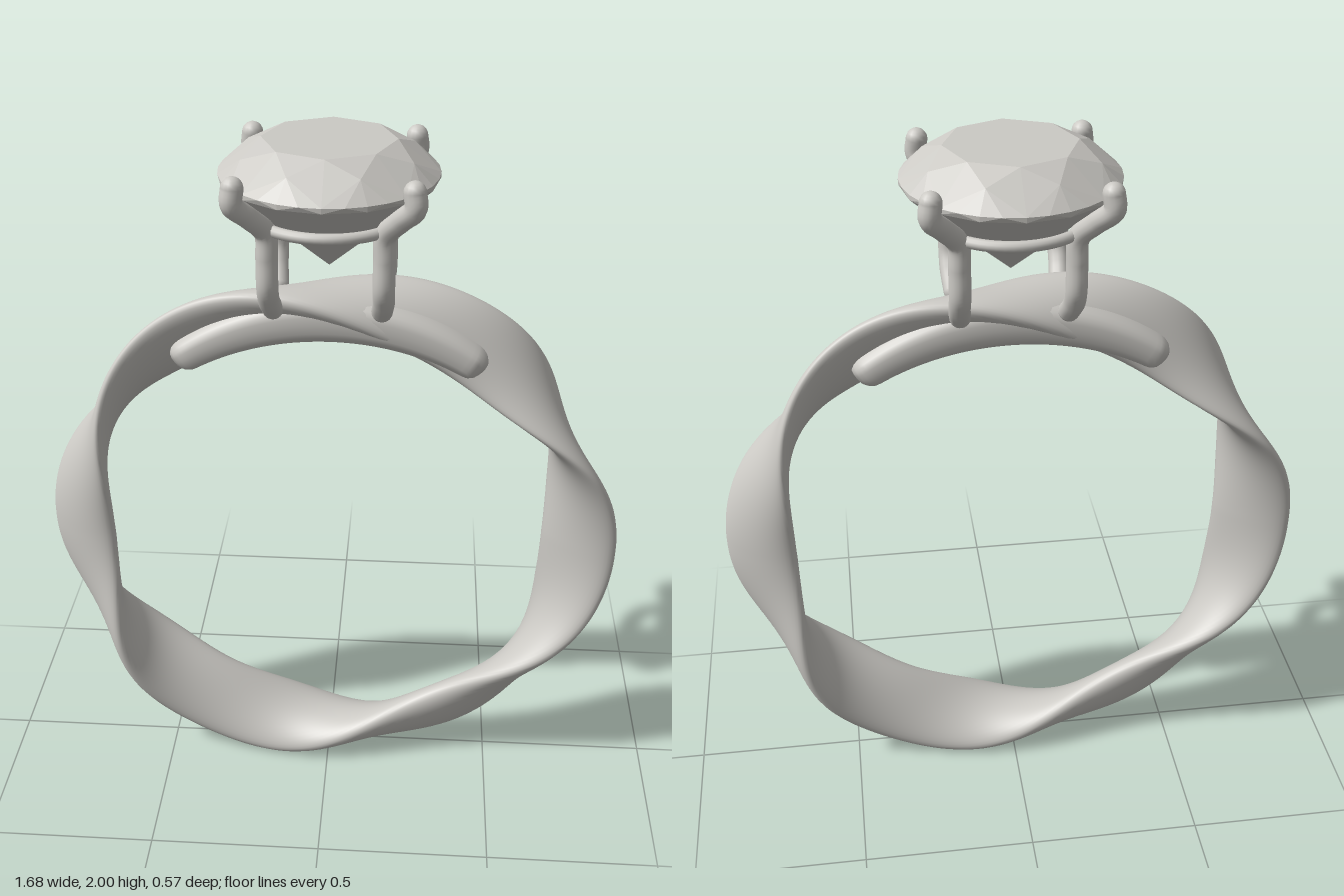
import * as THREE from 'three';
import { ConvexGeometry } from 'three/addons/geometries/ConvexGeometry.js';

const CENTRE_Y = 0.797;

// Surface through point(i, j): i runs along the hoop, j around the section
function loft(rows, cols, closed, point) {
  const pos = [], index = [];
  const count = closed ? rows : rows + 1;
  for (let i = 0; i < count; i++)
    for (let j = 0; j < cols; j++) pos.push(...point(i / rows, (j / cols) * Math.PI * 2));
  for (let i = 0; i < rows; i++)
    for (let j = 0; j < cols; j++) {
      const i2 = (i + 1) % count, j2 = (j + 1) % cols;
      const a = i * cols + j, b = i2 * cols + j, c = i2 * cols + j2, d = i * cols + j2;
      index.push(a, b, d, b, c, d);
    }
  const g = new THREE.BufferGeometry();
  g.setAttribute('position', new THREE.Float32BufferAttribute(pos, 3));
  g.setIndex(index);
  g.computeVertexNormals();
  return g;
}

const onHoop = (r, t, z) => [r * Math.cos(t), CENTRE_Y + r * Math.sin(t), z];

export function createModel() {
  const model = new THREE.Group();
  const silver = new THREE.MeshStandardMaterial({ color: 0xcccac5 });
  silver.name = 'silver';
  const add = (name, geometry, parent = model) => {
    const mesh = new THREE.Mesh(geometry, silver);
    mesh.name = name;
    parent.add(mesh);
    return mesh;
  };

  // Band: an oval section that rocks to and fro three times round the hoop
  add('wavyBand', loft(288, 40, true, (f, a) => {
    const t = f * Math.PI * 2, up = Math.max(0, Math.sin(t));
    const tilt = THREE.MathUtils.degToRad(90 - 57 * Math.cos(3 * t));
    const u = (0.12 - 0.02 * up ** 8) * Math.cos(a);
    const v = (0.042 - 0.013 * Math.sin(t) + 0.02 * up ** 8) * Math.sin(a);
    const r = 0.735 + 0.02 * up + u * Math.cos(tilt) - v * Math.sin(tilt);
    return onHoop(r, t, u * Math.sin(tilt) + v * Math.cos(tilt));
  }));

  // Bridge: a rounded bar under the setting that fills the band's top
  add('bridge', loft(64, 28, false, (f, a) => {
    const t = THREE.MathUtils.degToRad(53 + 74 * f);
    const end = Math.min(1, Math.min(f, 1 - f) / 0.06);
    const size = Math.sqrt(Math.max(0, 1 - (1 - end) ** 2));
    const soft = (c) => Math.sign(c) * Math.abs(c) ** 0.7;
    const swell = 0.02 * Math.sin(Math.PI * f);
    const r = 0.718 + (0.047 + swell) * size * soft(Math.cos(a));
    return onHoop(r, t, 0.088 * size * soft(Math.sin(a)));
  }));

  // Four prongs, bent in at the foot and out round the stone
  const prongs = new THREE.Group();
  prongs.name = 'prongs';
  model.add(prongs);
  for (const sx of [-1, 1])
    for (const sz of [-1, 1]) {
      const path = [
        [0.145, 1.56, 0.08], [0.15, 1.605, 0.125], [0.15, 1.65, 0.15], [0.15, 1.73, 0.15],
        [0.152, 1.8, 0.152], [0.19, 1.855, 0.19], [0.225, 1.9, 0.225], [0.222, 1.94, 0.222],
      ].map(([x, y, z]) => new THREE.Vector3(x * sx, y, z * sz));
      add('prong', new THREE.TubeGeometry(new THREE.CatmullRomCurve3(path), 48, 0.029, 14), prongs);
      for (const p of [path[0], path[path.length - 1]])
        add('prongTip', new THREE.SphereGeometry(0.029, 14, 10), prongs).position.copy(p);
    }

  // Gallery ring joining the prongs
  const gallery = add('galleryRing', new THREE.TorusGeometry(0.208, 0.015, 12, 64));
  gallery.rotation.x = Math.PI / 2;
  gallery.position.y = 1.808;

  // Stone: faceted crown, thin girdle and pointed pavilion
  const points = [new THREE.Vector3(0, 1.655, 0)];
  const ring = (n, r, y, turn = 0) => {
    for (let i = 0; i < n; i++) {
      const a = ((i + turn) / n) * Math.PI * 2;
      points.push(new THREE.Vector3(r * Math.cos(a), y, r * Math.sin(a)));
    }
  };
  ring(8, 0.175, 2.0);
  ring(8, 0.235, 1.967, 0.5);
  ring(32, 0.287, 1.917);
  ring(16, 0.287, 1.903);
  add('stone', new ConvexGeometry(points));

  return model;
}
